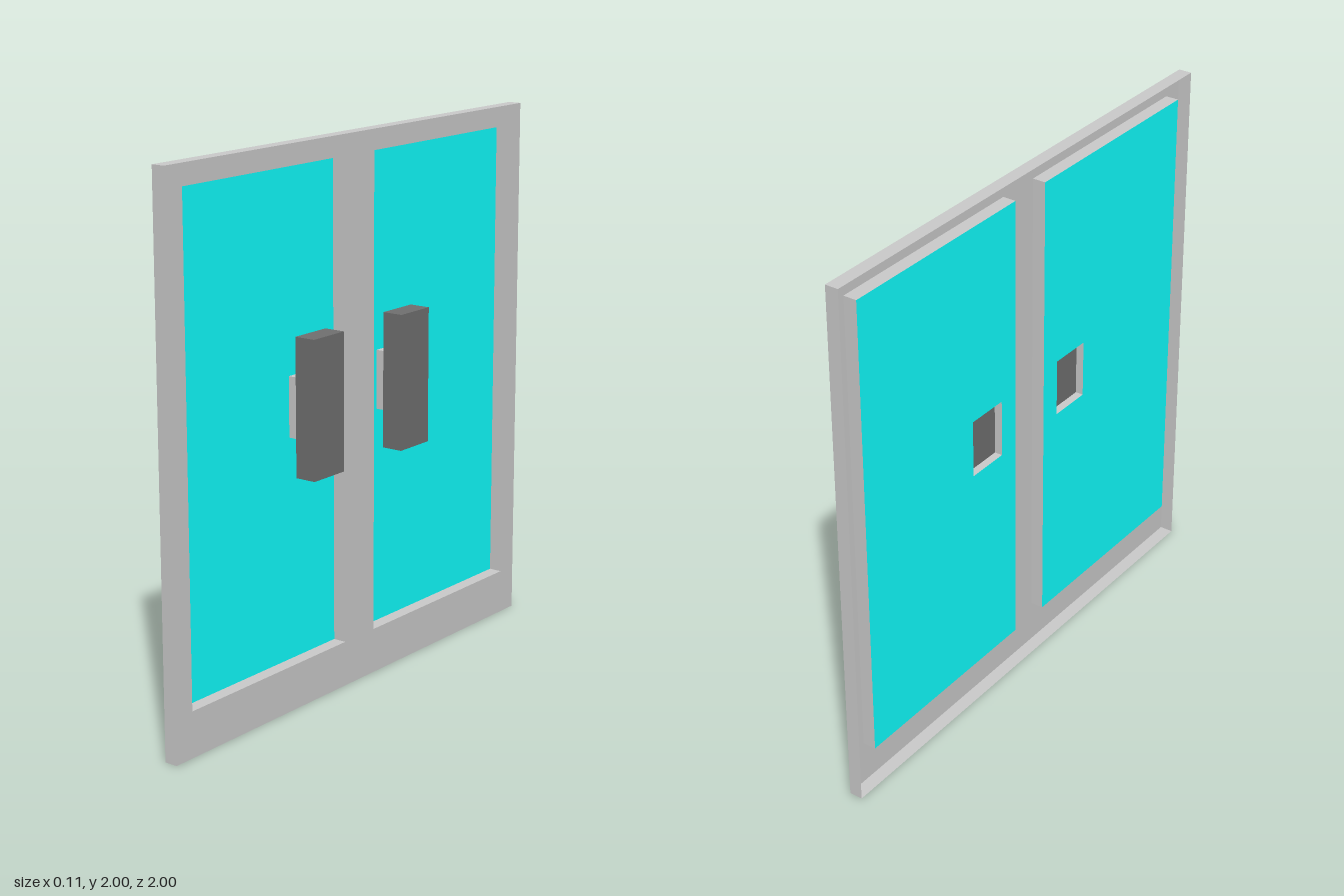
import * as THREE from 'three';

const BACK = -0.055, FACE = -0.005, GRIP_BACK = -0.025, GRIP_FRONT = 0.055;

// Rectangles in the z-y plane: [z0, z1, y0, y1]
const OUTER = [-1, 1, 0, 2];
const mirrored = ([z0, z1, y0, y1], s) => (s > 0 ? [z0, z1, y0, y1] : [-z1, -z0, y0, y1]);
const WINDOW = [0.085, 0.917, 0.167, 1.925];
const STEM = [0.167, 0.333, 0.975, 1.193];
const GRIP = [0.167, 0.333, 0.835, 1.335];

const corners = ([z0, z1, y0, y1]) => [[z0, y0], [z1, y0], [z1, y1], [z0, y1]];

function named(name, geometry, material) {
  const mesh = new THREE.Mesh(geometry, material);
  mesh.name = name;
  return mesh;
}

// Flat sheet facing x, with rectangular openings
function sheet(rect, openings, x) {
  const points = (r) => corners(r).map(([z, y]) => new THREE.Vector2(-z, y));
  const shape = new THREE.Shape(points(rect));
  for (const o of openings) shape.holes.push(new THREE.Path(points(o)));
  return new THREE.ShapeGeometry(shape).rotateY(Math.PI / 2).translate(x, 0, 0);
}

// Four walls around a rectangle, open at both ends
function walls(rect, x0, x1) {
  const c = corners(rect), pos = [];
  for (let i = 0; i < 4; i++) {
    const [za, ya] = c[i], [zb, yb] = c[(i + 1) % 4];
    pos.push(x0, ya, za, x0, yb, zb, x1, yb, zb, x0, ya, za, x1, yb, zb, x1, ya, za);
  }
  const g = new THREE.BufferGeometry();
  g.setAttribute('position', new THREE.Float32BufferAttribute(pos, 3));
  g.computeVertexNormals();
  return g;
}

export function createModel() {
  const model = new THREE.Group();
  model.name = 'doubleDoor';
  const grey = new THREE.MeshStandardMaterial({ color: 0xcccccc, side: THREE.DoubleSide });
  const glass = new THREE.MeshStandardMaterial({ color: 0x10ffff, side: THREE.DoubleSide });
  const dark = new THREE.MeshStandardMaterial({ color: 0x707070 });

  // Frame: face sheet with a rim folded to the back
  const windows = [1, -1].map((s) => mirrored(WINDOW, s));
  model.add(named('frameFace', sheet(OUTER, windows, FACE), grey));
  model.add(named('frameRim', walls(OUTER, BACK, FACE), grey));

  for (const s of [1, -1]) {
    const door = new THREE.Group();
    door.name = s > 0 ? 'frontDoor' : 'backDoor';
    const win = mirrored(WINDOW, s), stem = mirrored(STEM, s);
    // Recessed pane, open where the hollow handle stem begins
    door.add(named('windowReveal', walls(win, BACK, FACE), grey));
    door.add(named('pane', sheet(win, [stem], BACK), glass));
    door.add(named('handleStem', walls(stem, BACK, GRIP_BACK), grey));
    // Handle block
    const [z0, z1, y0, y1] = mirrored(GRIP, s);
    const grip = new THREE.BoxGeometry(GRIP_FRONT - GRIP_BACK, y1 - y0, z1 - z0);
    grip.translate((GRIP_FRONT + GRIP_BACK) / 2, (y0 + y1) / 2, (z0 + z1) / 2);
    door.add(named('handle', grip, dark));
    model.add(door);
  }
  return model;
}
